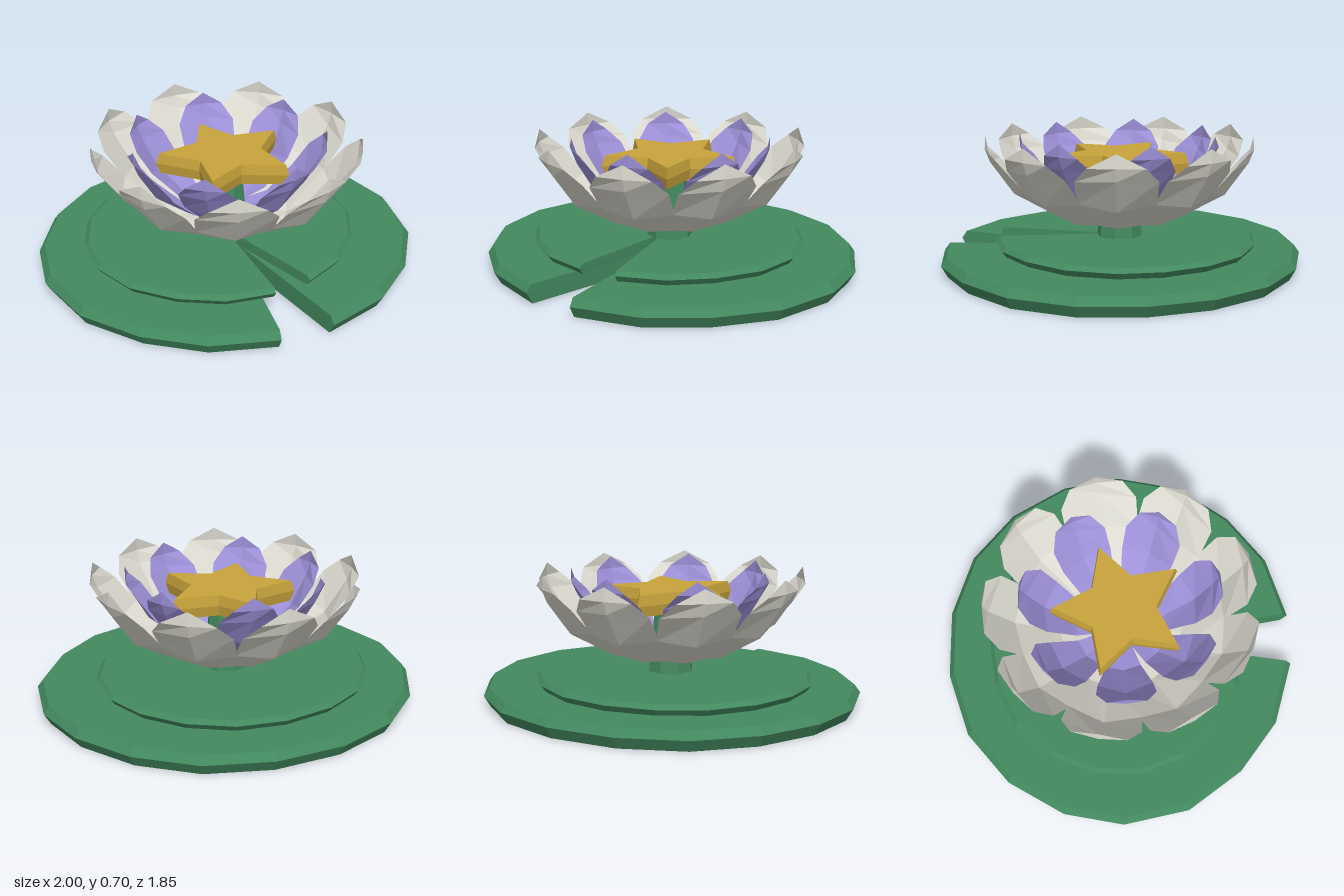
import * as THREE from 'three';

const mat = (name, color, side = THREE.FrontSide) =>
  Object.assign(new THREE.MeshStandardMaterial({ color, flatShading: true, side }), { name });

// Unindexed geometry from a flat list of triangle corners
function facets(corners) {
  const g = new THREE.BufferGeometry();
  g.setAttribute('position', new THREE.Float32BufferAttribute(corners.flat(), 3));
  g.computeVertexNormals();
  return g;
}

// Bevelled slab: an [x, z] outline (anticlockwise from above) repeated at [y, scale] levels.
// The caps fan out from the hub point.
function slab(outline, hub, levels) {
  const out = [];
  const at = ([x, z], [y, s]) => [x * s, y, z * s];
  const low = levels[0], high = levels[levels.length - 1];
  outline.forEach((a, i) => {
    const b = outline[(i + 1) % outline.length];
    for (let k = 0; k < levels.length - 1; k++) {
      const p = at(a, levels[k]), q = at(b, levels[k]);
      const r = at(b, levels[k + 1]), s = at(a, levels[k + 1]);
      out.push(p, q, r, p, r, s);
    }
    if (a === hub || b === hub) return;
    out.push(at(hub, high), at(a, high), at(b, high));
    out.push(at(hub, low), at(b, low), at(a, low));
  });
  return facets(out);
}

// Cupped petal along +z from rows of [radius, height, half width, edge inset, edge lift]
function petalGeometry(rows) {
  const pts = rows.map(([r, y, w, inset, lift]) =>
    [[-w, y + lift, r - inset], [0, y, r], [w, y + lift, r - inset]]);
  const out = [];
  for (let k = 0; k < pts.length - 1; k++) {
    for (let j = 0; j < 2; j++) {
      const a = pts[k][j], b = pts[k][j + 1], c = pts[k + 1][j + 1], d = pts[k + 1][j];
      if (k === pts.length - 2) out.push(a, b, pts[k + 1][1]);
      else out.push(a, b, c, a, c, d);
    }
  }
  return facets(out);
}

export function createModel() {
  const model = new THREE.Group();
  model.name = 'waterLily';
  const green = mat('leafGreen', 0x43895f);
  const white = mat('petalWhite', 0xdcdad0, THREE.DoubleSide);
  const violet = mat('petalViolet', 0x9d90d8, THREE.DoubleSide);
  const gold = mat('centreGold', 0xc9a43c);

  const add = (name, geometry, material, parent = model) => {
    const m = new THREE.Mesh(geometry, material);
    m.name = name;
    parent.add(m);
    return m;
  };

  // Two stacked lily pads with a notch at the front
  const notch = [0, 0.05];
  const half = [[0.14, 0.92], [0.47, 0.82], [0.73, 0.62], [0.93, 0.34], [1, 0],
    [0.94, -0.31], [0.77, -0.6], [0.51, -0.82], [0.18, -0.93]];
  const padOutline = [notch, ...half, ...half.map(([x, z]) => [-x, z]).reverse()];
  const padGeometry = slab(padOutline, notch, [[0, 0.965], [0.06, 1], [0.1, 0.97]]);
  add('lowerPad', padGeometry, green);
  const upper = add('upperPad', padGeometry, green);
  upper.scale.set(0.73, 0.55, 0.73);
  upper.position.set(-0.03, 0.1, -0.02);
  upper.rotation.y = 0.14;

  // Stem, reaching up to carry the flower centre
  add('stem', new THREE.CylinderGeometry(0.085, 0.125, 0.4, 8), green).position.y = 0.3;

  // Rings of petals
  const ring = (name, count, start, rows, material) => {
    const group = new THREE.Group();
    group.name = name + 's';
    const geometry = petalGeometry(rows);
    for (let i = 0; i < count; i++) {
      add(name, geometry, material, group).rotation.y = Math.PI - start - (i / count) * Math.PI * 2;
    }
    model.add(group);
  };
  ring('outerPetal', 9, 0, [
    [0.04, 0.245, 0.03, 0, 0],
    [0.32, 0.26, 0.13, 0.02, 0.015],
    [0.55, 0.39, 0.19, 0.05, 0.03],
    [0.67, 0.56, 0.2, 0.06, -0.01],
    [0.695, 0.625, 0.14, 0.015, 0],
    [0.69, 0.695, 0, 0, 0],
  ], white);
  ring('innerPetal', 7, 0.18, [
    [0.04, 0.28, 0.03, 0, 0],
    [0.24, 0.3, 0.09, 0.02, 0.015],
    [0.4, 0.42, 0.14, 0.04, 0.03],
    [0.49, 0.57, 0.15, 0.05, -0.01],
    [0.515, 0.635, 0.1, 0.01, 0],
    [0.515, 0.7, 0, 0, 0],
  ], violet);

  // Five-pointed star at the centre, one point to the back
  const star = Array.from({ length: 10 }, (_, i) => {
    const a = Math.PI + (i * Math.PI) / 5, r = i % 2 ? 0.187 : 0.362;
    return [Math.sin(a) * r, Math.cos(a) * r];
  });
  add('starCentre', slab(star, [0, 0], [[0.49, 0.94], [0.545, 1], [0.6, 0.95]]), gold);

  return model;
}
